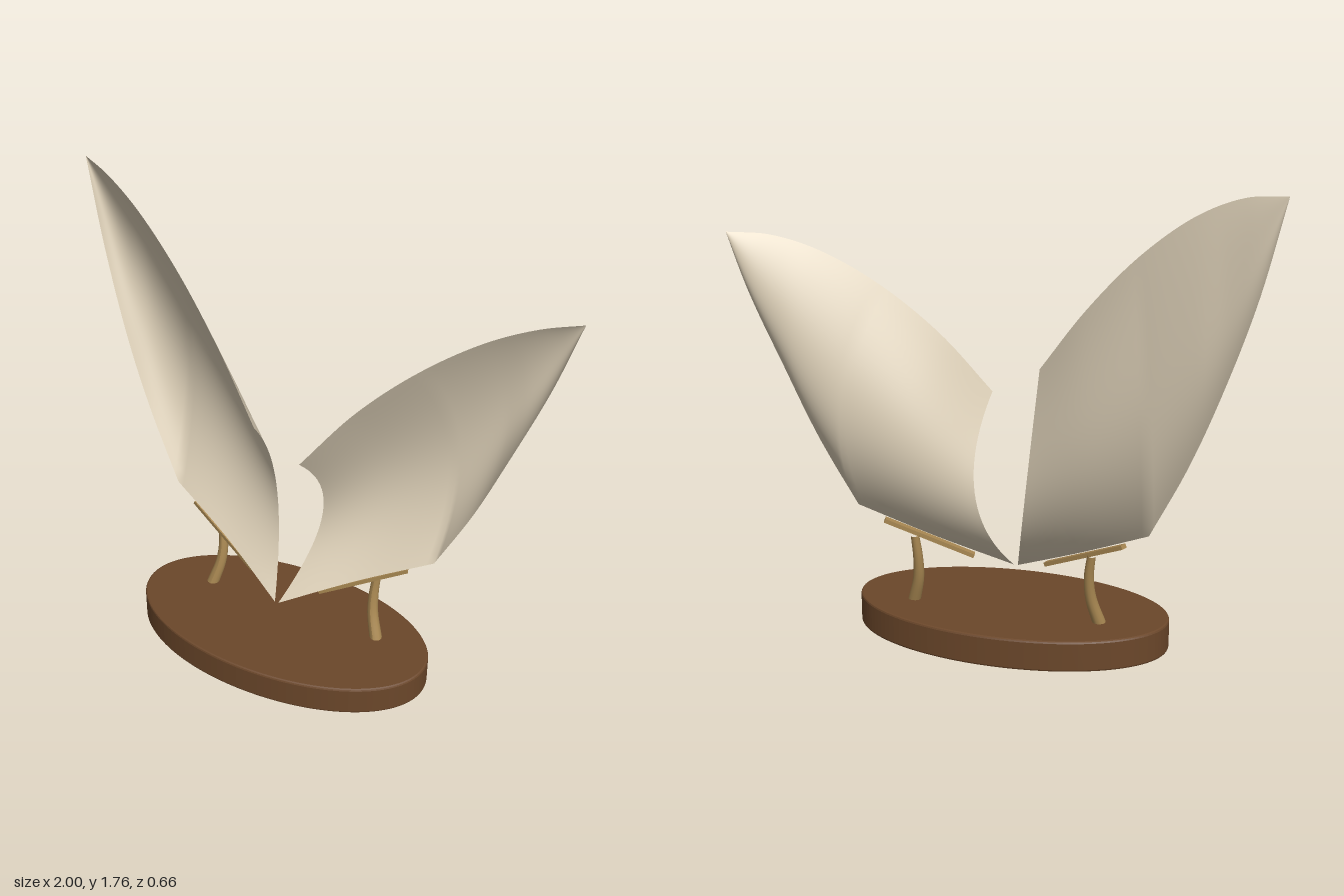
import * as THREE from 'three';

const mat = (name, color, side = THREE.FrontSide) => {
  const m = new THREE.MeshStandardMaterial({ color, side });
  m.name = name;
  return m;
};
const V = (p) => new THREE.Vector3(...p);
const curve = (pts) => new THREE.CatmullRomCurve3(pts.map(V), false, 'centripetal');

// Curved sheet between a lower edge (with one corner) and an upper edge, bellied backwards
function wingGeometry({ side, bottom, outer, upper }) {
  const nu = 50, nv = 24, cornerRow = 20;
  const low = curve(bottom), out = curve(outer), top = curve(upper);
  const pos = [], idx = [];
  for (let i = 0; i <= nu; i++) {
    const u = i / nu;
    const a = i <= cornerRow ? low.getPoint(i / cornerRow)
      : out.getPoint((i - cornerRow) / (nu - cornerRow));
    const b = top.getPoint(u);
    const fade = 1 - Math.pow(u, 2.2);
    for (let j = 0; j <= nv; j++) {
      const v = j / nv, sag = 4 * v * (1 - v) * fade;
      const p = a.clone().lerp(b, v);
      pos.push(p.x + side * 0.05 * sag, p.y, p.z - 0.19 * sag);
      if (i < nu && j < nv) {
        const k = i * (nv + 1) + j, r = k + nv + 1;
        if (side > 0) idx.push(k, r, k + 1, r, r + 1, k + 1);
        else idx.push(k, k + 1, r, r, k + 1, r + 1);
      }
    }
  }
  const g = new THREE.BufferGeometry();
  g.setAttribute('position', new THREE.Float32BufferAttribute(pos, 3));
  g.setIndex(idx);
  g.computeVertexNormals();
  return g;
}

// Round rod along a curve, narrowing towards its end
function taperedRod(path, r0, r1) {
  const n = 20, sides = 12;
  const g = new THREE.TubeGeometry(path, n, 1, sides, false);
  const p = g.attributes.position;
  for (let i = 0; i < p.count; i++) {
    const t = Math.floor(i / (sides + 1)) / n;
    const c = path.getPointAt(t);
    const q = new THREE.Vector3().fromBufferAttribute(p, i).sub(c)
      .multiplyScalar(r0 + (r1 - r0) * t).add(c);
    p.setXYZ(i, q.x, q.y, q.z);
  }
  g.computeVertexNormals();
  return g;
}

export function createModel() {
  const model = new THREE.Group();
  const ivory = mat('ivory', 0xd9ccb4, THREE.DoubleSide);
  const wood = mat('dark wood', 0x6b472a);
  const brass = mat('brass', 0xa98852);
  const add = (name, geometry, material) => {
    const m = new THREE.Mesh(geometry, material);
    m.name = name;
    model.add(m);
    return m;
  };

  // Oval base with a slightly eased rim
  const oval = new THREE.Shape().absellipse(0, 0, 0.607, 0.322, 0, Math.PI * 2);
  const baseGeo = new THREE.ExtrudeGeometry(oval, {
    depth: 0.104, bevelThickness: 0.008, bevelSize: 0.008, bevelSegments: 2, curveSegments: 64,
  });
  baseGeo.rotateX(-Math.PI / 2).translate(0.025, 0.008, 0);
  add('base', baseGeo, wood);

  const wings = [
    {
      name: 'left', side: 1,
      bottom: [[0.035, 0.25, 0.06], [0.31, 0.38, -0.06], [0.59, 0.51, -0.15]],
      outer: [[0.59, 0.51, -0.15], [0.71, 0.75, -0.19], [0.81, 1.0, -0.225], [0.92, 1.3, -0.28], [0.995, 1.56, -0.325]],
      upper: [[0.12, 0.94, 0.06], [0.3, 1.17, -0.02], [0.5, 1.355, -0.1], [0.7, 1.485, -0.18], [0.86, 1.545, -0.25], [0.995, 1.56, -0.325]],
      post: [[0.4, 0.11, -0.075], [0.37, 0.22, -0.1], [0.365, 0.31, -0.115], [0.372, 0.4, -0.125]],
      rail: [[0.17, 0.306, -0.025], [0.49, 0.454, -0.135]],
    },
    {
      name: 'right', side: -1,
      bottom: [[0.02, 0.25, 0.06], [-0.26, 0.38, -0.06], [-0.54, 0.51, -0.15]],
      outer: [[-0.54, 0.51, -0.15], [-0.68, 0.79, -0.19], [-0.79, 1.06, -0.225], [-0.91, 1.41, -0.28], [-1, 1.765, -0.325]],
      upper: [[-0.065, 1.04, 0.06], [-0.26, 1.29, -0.02], [-0.47, 1.51, -0.1], [-0.68, 1.67, -0.18], [-0.85, 1.745, -0.25], [-1, 1.765, -0.325]],
      post: [[-0.345, 0.11, -0.075], [-0.316, 0.22, -0.1], [-0.311, 0.31, -0.115], [-0.322, 0.4, -0.125]],
      rail: [[-0.12, 0.306, -0.025], [-0.445, 0.454, -0.135]],
    },
  ];

  for (const w of wings) {
    add(w.name + 'Wing', wingGeometry(w), ivory);
    add(w.name + 'Post', taperedRod(curve(w.post), 0.025, 0.016), brass);

    // Flat cradle bar under the wing's bottom edge
    const [a, b] = w.rail.map(V);
    const bar = add(w.name + 'Rail', new THREE.BoxGeometry(0.03, 0.016, a.distanceTo(b)), brass);
    bar.position.copy(a).lerp(b, 0.5);
    bar.lookAt(b);
  }
  return model;
}
